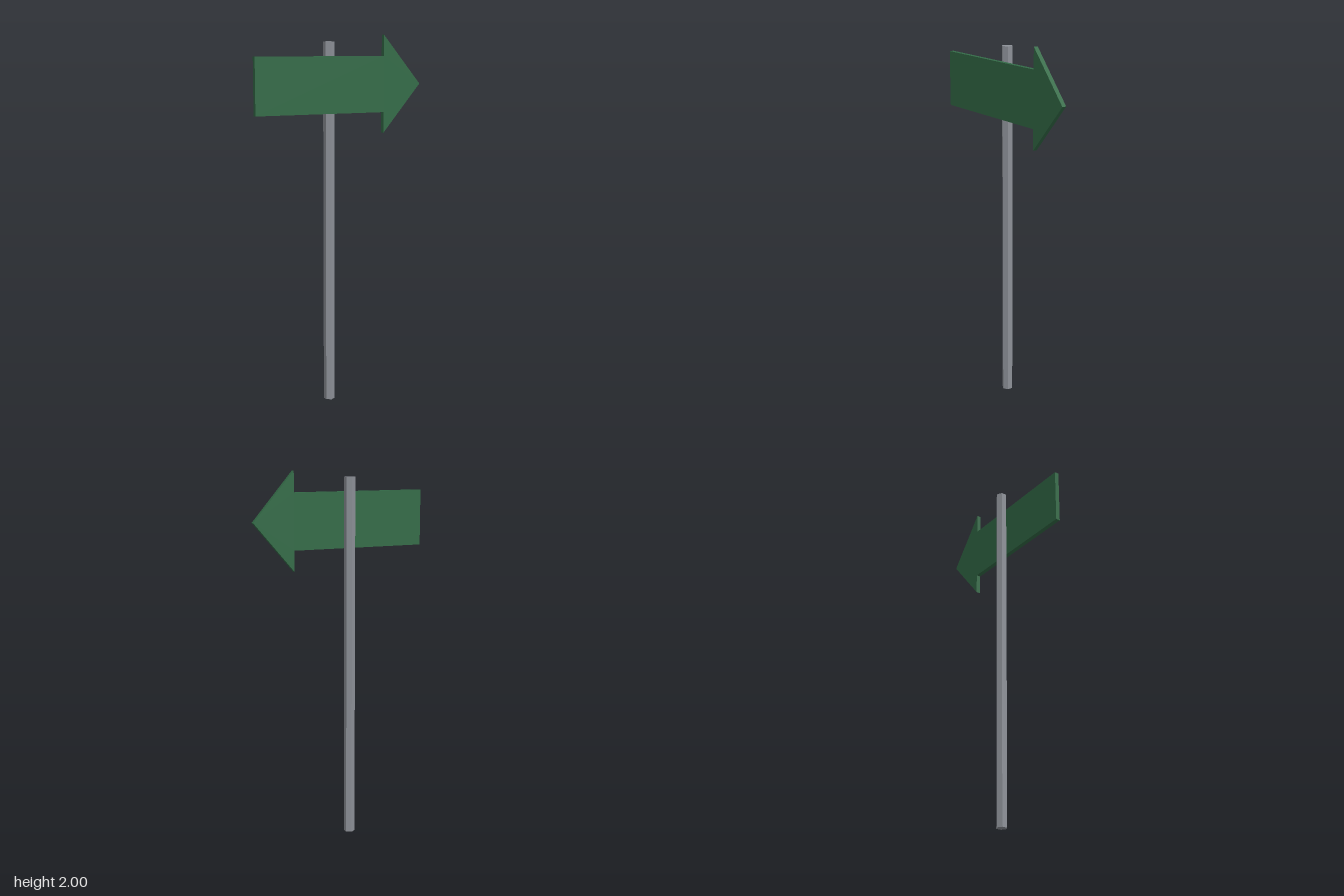
import * as THREE from 'three';

export function createModel() {
  const model = new THREE.Group();
  model.name = 'arrowSign';

  const postGrey = new THREE.MeshStandardMaterial({ color: 0x8d9198, flatShading: true });
  postGrey.name = 'post grey';
  const signGreen = new THREE.MeshStandardMaterial({ color: 0x336b47, flatShading: true });
  signGreen.name = 'sign green';

  // Hexagonal post
  const height = 1.965;
  const post = new THREE.Mesh(new THREE.CylinderGeometry(0.03, 0.03, height, 6), postGrey);
  post.name = 'post';
  post.position.set(-0.039, height / 2, -0.016);
  model.add(post);

  // Arrow board, mirrored about its centre line
  const half = [[-0.49, 0.15], [0.263, 0.15], [0.263, 0.262]];
  const outline = [
    ...half.map(([x, y]) => new THREE.Vector2(x, -y)),
    new THREE.Vector2(0.49, 0),
    ...half.map(([x, y]) => new THREE.Vector2(x, y)).reverse(),
  ];
  const board = new THREE.Mesh(
    new THREE.ExtrudeGeometry(new THREE.Shape(outline), { depth: 0.024, bevelEnabled: false }),
    signGreen
  );
  board.name = 'arrowBoard';
  board.position.set(0, 1.738, 0.021);
  model.add(board);

  return model;
}
